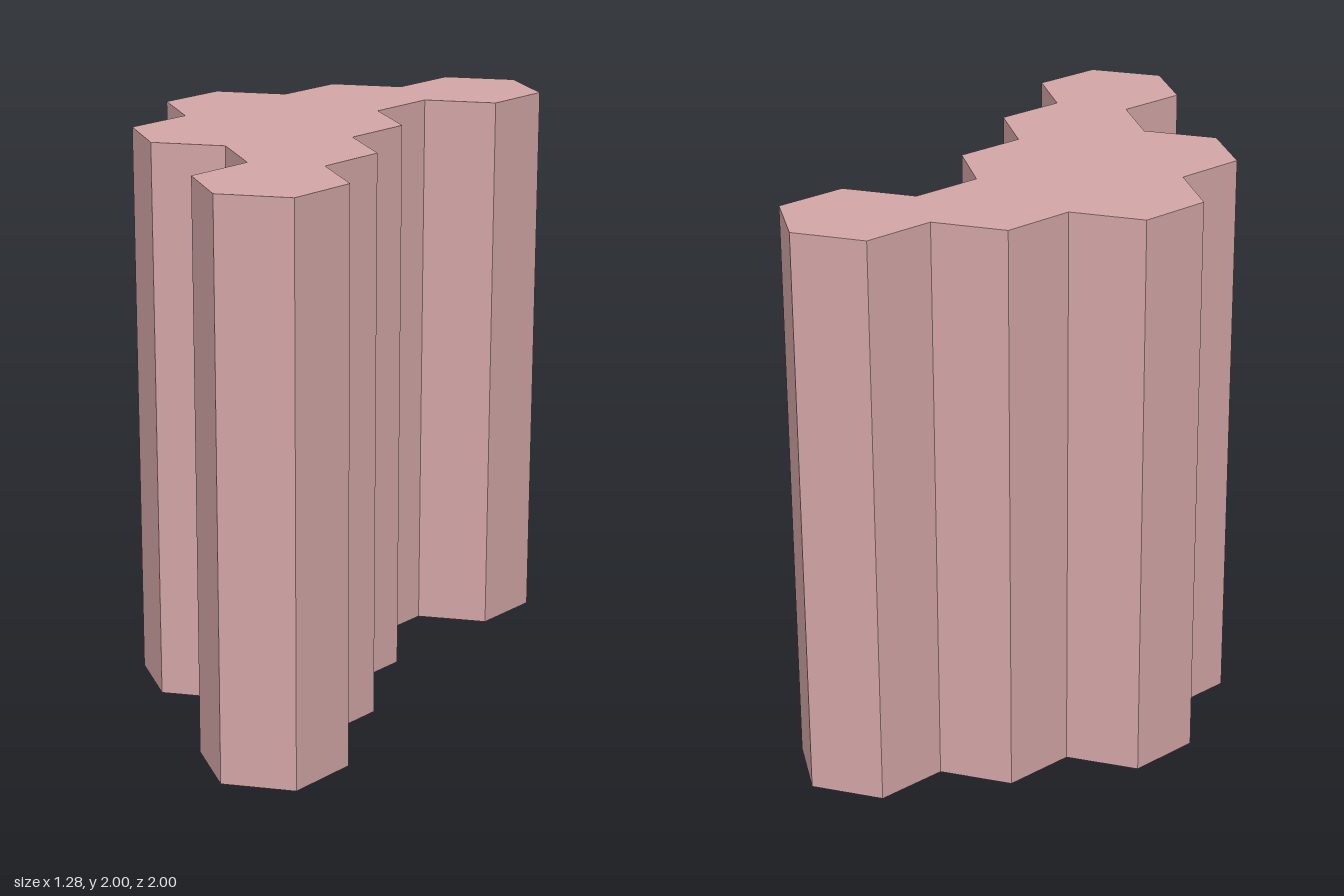
import * as THREE from 'three';
import { mergeGeometries } from 'three/addons/utils/BufferGeometryUtils.js';

// Hexagonal cells as [column, row]; one row step is the hexagon's apothem
const CELLS = [
  [0, 3.5], [0, 1.5], [0, -0.5], [0, -2.5],
  [-1, -1.5], [-1, 0.5],
  [1, -3.5],
];
const APOTHEM = 2 / 9;
const SIDE = APOTHEM / Math.cos(Math.PI / 6);
const HEIGHT = 2;

export function createModel() {
  const group = new THREE.Group();
  group.name = 'hexagonalColumnCluster';
  const material = new THREE.MeshStandardMaterial({
    color: 0xd4a7a7, flatShading: true, side: THREE.DoubleSide,
  });

  const has = (col, row) => CELLS.some(([c, r]) => c === col && r === row);
  const walls = [];
  const caps = [];

  for (const [col, row] of CELLS) {
    const x = col * SIDE * 1.5;
    const z = row * APOTHEM;

    // Top of the cell; the underside stays open
    caps.push(new THREE.CircleGeometry(SIDE, 6).rotateX(-Math.PI / 2).translate(x, HEIGHT, z));

    // A wall on every side that has no neighbouring cell
    for (let k = 0; k < 6; k++) {
      const a = (k * Math.PI) / 3;
      if (has(col + Math.round(Math.sin(a)), row + Math.round(2 * Math.cos(a)))) continue;
      walls.push(new THREE.PlaneGeometry(SIDE, HEIGHT)
        .translate(0, HEIGHT / 2, APOTHEM)
        .rotateY(a)
        .translate(x, 0, z));
    }
  }

  const add = (name, parts) => {
    const mesh = new THREE.Mesh(mergeGeometries(parts), material);
    mesh.name = name;
    group.add(mesh);
  };
  add('outerWalls', walls);
  add('topSurface', caps);
  return group;
}
